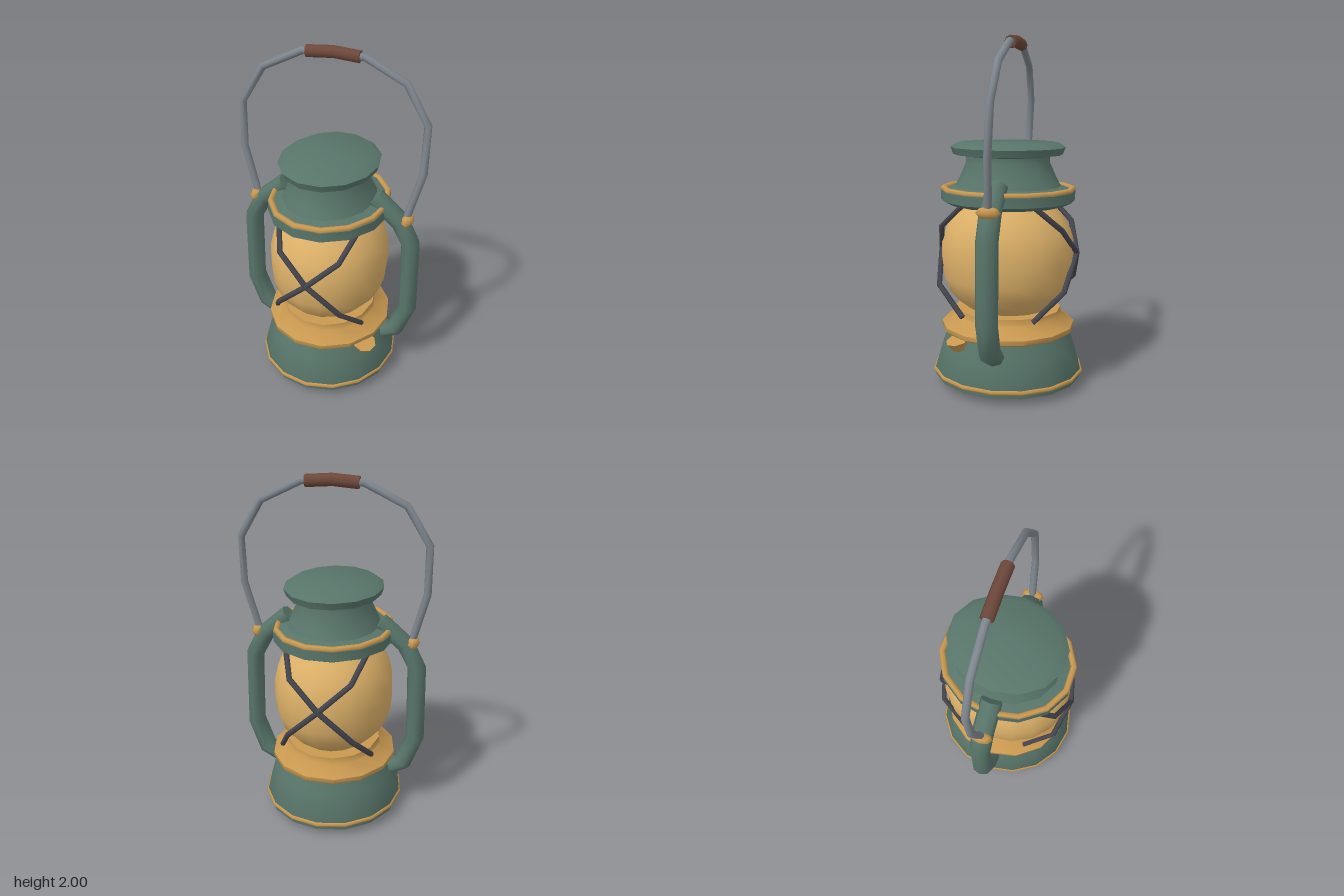
import * as THREE from 'three';
import { mergeGeometries, toCreasedNormals } from 'three/addons/utils/BufferGeometryUtils.js';

const paint = (name, color) => {
  const m = new THREE.MeshStandardMaterial({ color });
  m.name = name;
  return m;
};

// Straight-segment path with mitred corners
class Polyline extends THREE.Curve {
  constructor(points) {
    super();
    this.points = points.map((p) => new THREE.Vector3(...p));
  }
  getPoint(t, target = new THREE.Vector3()) {
    const n = this.points.length - 1;
    const i = Math.min(Math.floor(t * n + 1e-9), n - 1);
    return target.lerpVectors(this.points[i], this.points[i + 1], t * n - i);
  }
  getPointAt(t, target) { return this.getPoint(t, target); }
  getTangentAt(t, target) { return this.getTangent(t, target); }
}

// Capped tube along a list of points
function pipe(points, radius, sides) {
  const path = new Polyline(points);
  const parts = [new THREE.TubeGeometry(path, points.length - 1, radius, sides)];
  for (const t of [0, 1]) {
    const cap = new THREE.CircleGeometry(radius, sides);
    const end = path.getPoint(t);
    cap.lookAt(path.getTangent(t).multiplyScalar(t ? 1 : -1));
    cap.translate(end.x, end.y, end.z);
    parts.push(cap);
  }
  return mergeGeometries(parts);
}

// Oval turned shape: profile rows are [x radius, z radius, y], bottom to top
function ovalLathe(rows, sides, crease = 0.7) {
  const pts = rows.map(([rx, , y]) => new THREE.Vector2(rx, y));
  const geo = new THREE.LatheGeometry(pts, sides, Math.PI / 2);
  const pos = geo.attributes.position;
  for (let i = 0; i < pos.count; i++) {
    const [rx, rz] = rows[i % rows.length];
    if (rx > 0) pos.setZ(i, pos.getZ(i) * rz / rx);
  }
  geo.computeVertexNormals();
  return toCreasedNormals(geo, crease);
}

function ovalRing(rx, rz, y, tube, sides) {
  return new THREE.TorusGeometry(rx, tube, 6, sides)
    .rotateX(Math.PI / 2).scale(1, 1, rz / rx).translate(0, y, 0);
}

export function createModel() {
  const green = paint('green enamel', 0x58756a);
  const brass = paint('brass', 0xc89850);
  const amber = paint('amber glass', 0xdcb068);
  const steel = paint('steel', 0x7e868e);
  const iron = paint('dark wire', 0x45454f);
  const wood = paint('brown grip', 0x6e483b);

  const model = new THREE.Group();
  const add = (name, geo, mat) => {
    const mesh = new THREE.Mesh(geo, mat);
    mesh.name = name;
    model.add(mesh);
    return mesh;
  };

  // Fuel tank base
  add('tank', ovalLathe([
    [0, 0, 0], [0.28, 0.29, 0], [0.405, 0.43, 0.045], [0.41, 0.435, 0.09],
    [0.37, 0.39, 0.24], [0.335, 0.35, 0.33], [0, 0, 0.34],
  ], 16), green);
  add('tankRing', ovalRing(0.403, 0.43, 0.08, 0.015, 16), brass);

  // Burner collar
  add('burnerCollar', ovalLathe([
    [0, 0, 0.325], [0.355, 0.38, 0.325], [0.368, 0.39, 0.335], [0.368, 0.39, 0.36],
    [0.28, 0.315, 0.415], [0.275, 0.31, 0.45], [0, 0, 0.45],
  ], 14, 0.9), brass);

  // Glass globe
  add('globe', ovalLathe([
    [0.19, 0.22, 0.44], [0.25, 0.285, 0.49], [0.31, 0.35, 0.56], [0.337, 0.38, 0.64],
    [0.345, 0.39, 0.74], [0.343, 0.388, 0.83], [0.322, 0.362, 0.92],
    [0.28, 0.315, 1.0], [0.22, 0.25, 1.075],
  ], 18, 1.2), amber);

  // Hood with flared chimney lid
  add('hood', ovalLathe([
    [0, 0, 1.06], [0.29, 0.335, 1.06], [0.345, 0.388, 1.085], [0.345, 0.388, 1.14],
    [0.265, 0.305, 1.165], [0.245, 0.28, 1.21], [0.2, 0.24, 1.3], [0.2, 0.24, 1.335],
    [0.265, 0.315, 1.345], [0.28, 0.33, 1.385], [0.24, 0.29, 1.41], [0, 0, 1.41],
  ], 14), green);
  add('hoodRing', ovalRing(0.327, 0.372, 1.148, 0.017, 14), brass);

  // Side tubes and handle clasps
  for (const s of [1, -1]) {
    const side = s > 0 ? 'left' : 'right';
    const path = [[0.265, 1.19], [0.41, 1.065], [0.48, 0.93], [0.49, 0.48], [0.425, 0.3], [0.345, 0.262]]
      .map(([x, y]) => [s * x, y, 0]);
    add(side + 'SideTube', pipe(path, 0.053, 8).scale(1, 1, 1.17), green);
    const clasp = add(side + 'Clasp', new THREE.SphereGeometry(1, 8, 4), brass);
    clasp.scale.set(0.038, 0.034, 0.068);
    clasp.position.set(s * 0.452, 1.08, 0);
  }

  // Carrying handle, leaning slightly back
  const lean = ([x, y]) => [x, y, -0.048 * (y - 1.08) / 0.88];
  const half = [[0.445, 1.08], [0.52, 1.37], [0.52, 1.64], [0.395, 1.845], [0.17, 1.955]];
  const bail = [...half.map(([x, y]) => [-x, y]), [0, 1.966], ...half.slice().reverse()].map(lean);
  add('handle', pipe(bail, 0.021, 8), steel);
  add('grip', pipe([[-0.145, 1.955], [0, 1.966], [0.145, 1.955]].map(lean), 0.034, 8), wood);

  // Crossed guard wires, front and back
  const wire = [[-0.23, 1.075, 0.205], [-0.17, 0.945, 0.345], [0, 0.79, 0.403],
    [0.185, 0.605, 0.36], [0.265, 0.445, 0.2]];
  for (const f of [1, -1]) {
    for (const s of [1, -1]) {
      add((f > 0 ? 'front' : 'back') + 'GuardWire',
        pipe(wire.map(([x, y, z]) => [s * x, y, f * z]), 0.016, 6), iron);
    }
  }

  // Filler cap on the tank shoulder
  const filler = add('fillerCap',
    toCreasedNormals(new THREE.CylinderGeometry(0.07, 0.042, 0.055, 8), 0.9), brass);
  filler.position.set(0.287, 0.297, 0.215);
  filler.rotation.set(0.2, 0, -0.2);

  return model;
}
